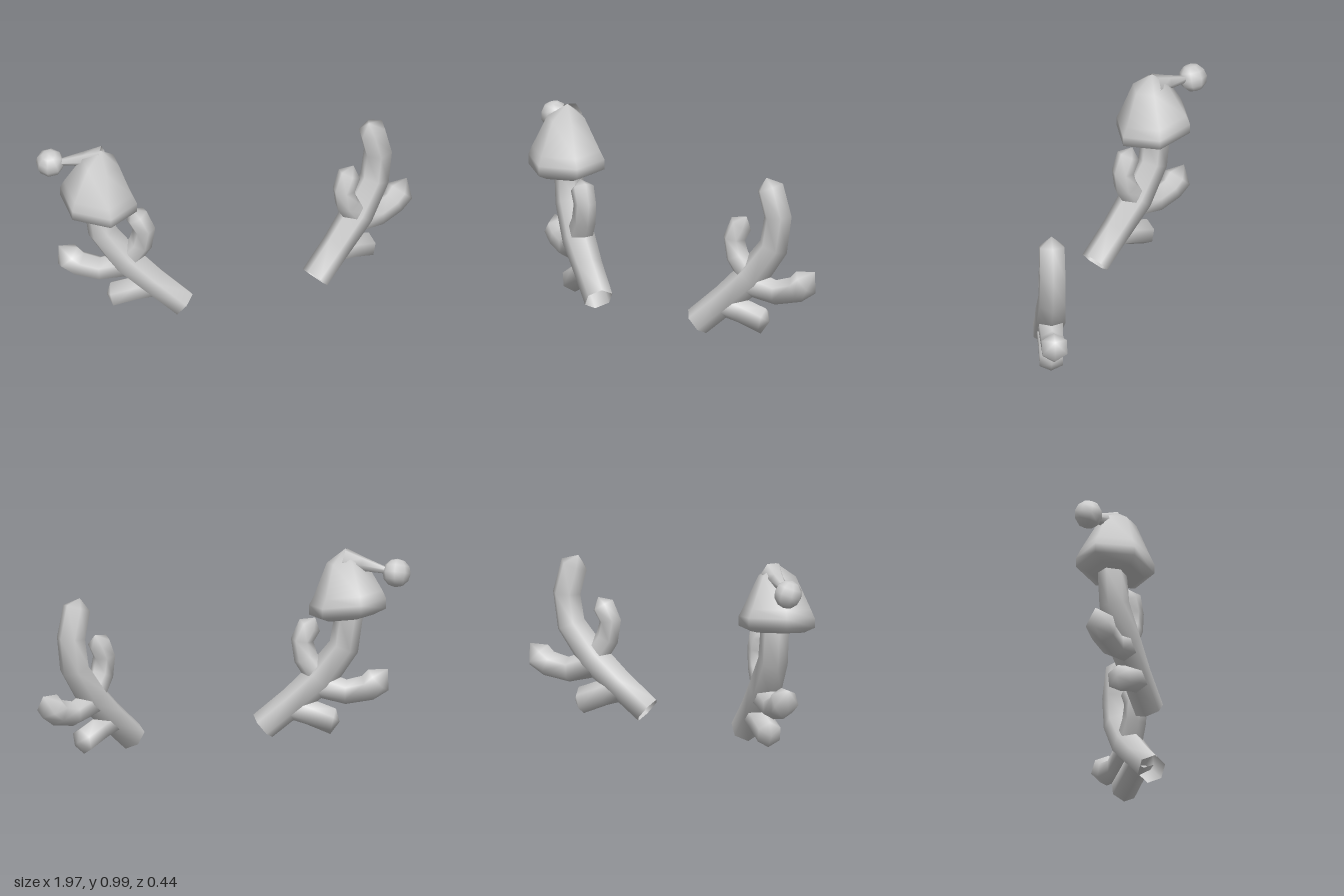
import * as THREE from 'three';

const V = (x, y, z) => new THREE.Vector3(x, y, z);
const SIDES = 6;

// Smooth skin over six-sided rings; an end with radius 0 closes to a point.
// side: direction kept across the rings; axis: fixed ring normal (else follows the path)
function loft(name, material, centers, radii, side, axis) {
  const pos = [], idx = [];
  const last = centers.length - 1;
  centers.forEach((c, i) => {
    const a = centers[Math.max(i - 1, 0)], b = centers[Math.min(i + 1, last)];
    let t = axis ? axis.clone().normalize() : null;
    if (!t) {
      t = V(0, 0, 0);
      if (i > 0) t.add(c.clone().sub(a).normalize());
      if (i < last) t.add(b.clone().sub(c).normalize());
      t.normalize();
    }
    const n = side.clone().addScaledVector(t, -side.dot(t)).normalize();
    const u = n.clone().cross(t);
    for (let j = 0; j < SIDES; j++) {
      const w = (j / SIDES) * Math.PI * 2;
      const p = c.clone().addScaledVector(u, radii[i] * Math.cos(w)).addScaledVector(n, radii[i] * Math.sin(w));
      pos.push(p.x, p.y, p.z);
    }
  });
  for (let i = 0; i < last; i++) {
    for (let j = 0; j < SIDES; j++) {
      const k = (j + 1) % SIDES;
      const a = i * SIDES + j, b = i * SIDES + k, c = a + SIDES, d = b + SIDES;
      // A pointed end shares its first vertex so the shading stays smooth
      if (radii[i + 1] === 0) idx.push(a, b, (i + 1) * SIDES);
      else if (radii[i] === 0) idx.push(i * SIDES, d, c);
      else idx.push(a, b, c, b, d, c);
    }
  }
  const g = new THREE.BufferGeometry();
  g.setAttribute('position', new THREE.Float32BufferAttribute(pos, 3));
  g.setIndex(idx);
  g.computeVertexNormals();
  const mesh = new THREE.Mesh(g, material);
  mesh.name = name;
  return mesh;
}

// Branches as [x, y, radius] in the slanted plane of an antler
const BRANCHES = {
  mainBeam: [[0.39, 0.05, 0.075], [0.53, 0.18, 0.077], [0.655, 0.305, 0.085], [0.765, 0.47, 0.077],
    [0.787, 0.63, 0.074], [0.75, 0.78, 0.072], [0.73, 0.828, 0]],
  innerTine: [[0.665, 0.29, 0.07], [0.588, 0.41, 0.062], [0.572, 0.5, 0.058], [0.607, 0.578, 0.06], [0.632, 0.618, 0]],
  outerTine: [[0.625, 0.285, 0.075], [0.775, 0.235, 0.064], [0.875, 0.258, 0.068], [0.925, 0.3, 0.074], [0.968, 0.357, 0]],
  lowerTine: [[0.5, 0.165, 0.07], [0.61, 0.125, 0.066], [0.715, 0.08, 0.068], [0.745, 0.078, 0]],
};

function antler(name, s, material) {
  const group = new THREE.Group();
  group.name = name;
  const slope = 0.46;
  const place = (x, y) => V(s > 0 ? x : 0.075 - x, y, 0.155 - slope * (x - 0.37));
  const side = V(s, 0, -slope).normalize().cross(V(0, 1, 0));
  for (const [part, pts] of Object.entries(BRANCHES)) {
    group.add(loft(part, material, pts.map(([x, y]) => place(x, y)), pts.map((p) => p[2]), side));
  }
  return group;
}

function hat(material) {
  const group = new THREE.Group();
  group.name = 'hat';
  // Bell-shaped cap with a flared rim, slightly tilted
  const rings = [
    [-0.71, 0.625, -0.02, 0], [-0.71, 0.622, -0.015, 0.14], [-0.712, 0.65, -0.022, 0.2],
    [-0.712, 0.7, -0.022, 0.2], [-0.715, 0.745, -0.022, 0.178],
    [-0.705, 0.91, -0.012, 0.098], [-0.702, 0.978, -0.018, 0],
  ];
  group.add(loft('hatCap', material, rings.map(([x, y, z]) => V(x, y, z)), rings.map((r) => r[3]),
    V(1, 0, 0), V(0.08, 1, 0.1)));
  // Drooping tip
  group.add(loft('hatTip', material,
    [V(-0.69, 0.925, -0.03), V(-0.77, 0.905, -0.075), V(-0.91, 0.865, -0.145)], [0.06, 0.038, 0.012], V(0, 1, 0)));
  // Bobble
  const bobble = new THREE.Mesh(new THREE.SphereGeometry(0.073, 8, 6), material);
  bobble.name = 'bobble';
  bobble.position.set(-0.928, 0.862, -0.155);
  bobble.rotation.set(0.2, 0.3, 0.2);
  group.add(bobble);
  return group;
}

export function createModel() {
  const grey = new THREE.MeshStandardMaterial({ color: 0xcccccc, side: THREE.DoubleSide });
  grey.name = 'plain grey';
  const model = new THREE.Group();
  model.name = 'antlersWithHat';
  model.add(antler('leftAntler', 1, grey), antler('rightAntler', -1, grey), hat(grey));
  return model;
}
